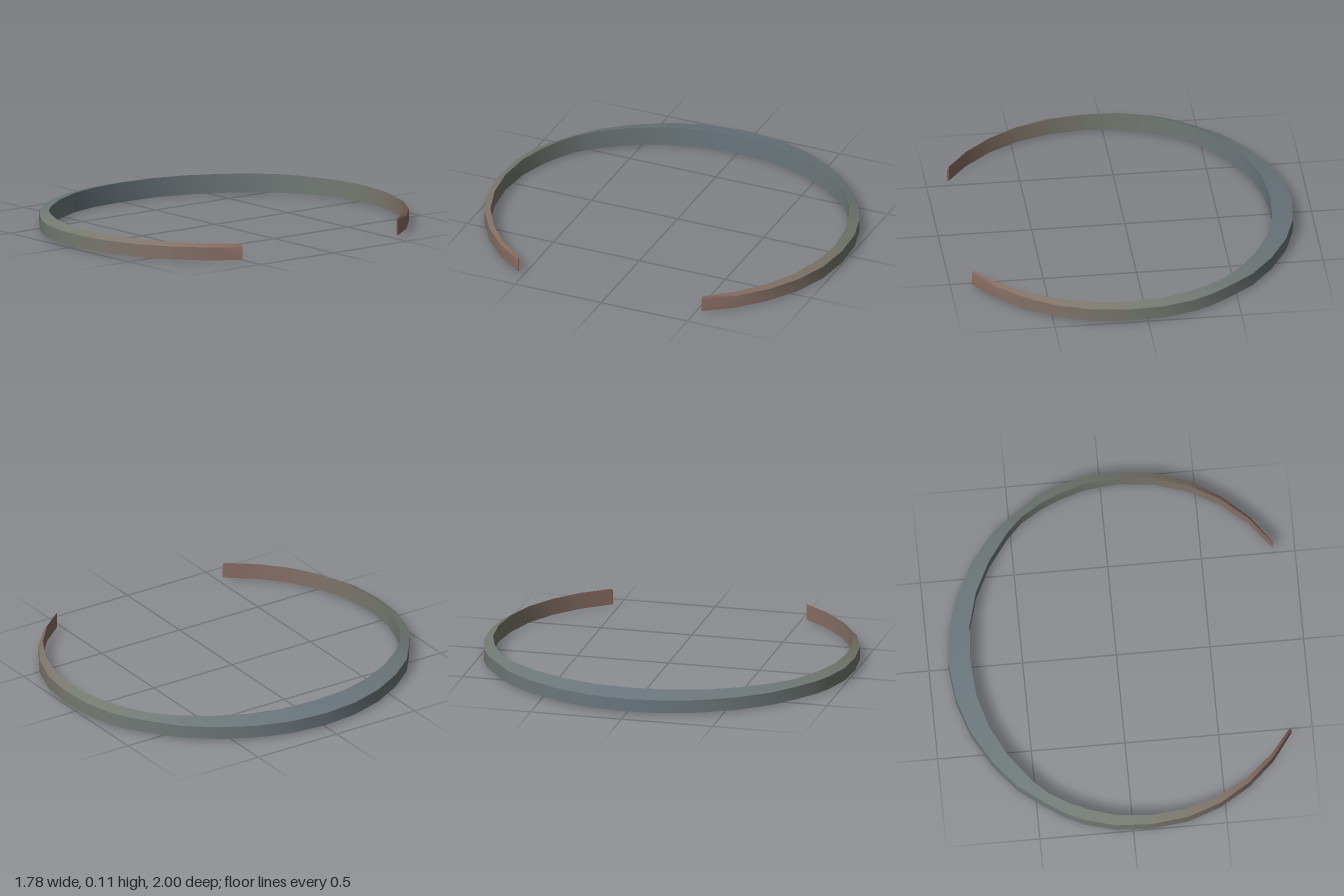
import * as THREE from 'three';
import { toCreasedNormals } from 'three/addons/utils/BufferGeometryUtils.js';

// Half plan of the crescent, from the thick back to the thin tip: [outerX, outerZ, innerX, innerZ]
const HALF = [
  [-0.895, 0, -0.78, 0], [-0.875, 0.2, -0.765, 0.2], [-0.815, 0.39, -0.715, 0.38],
  [-0.715, 0.57, -0.63, 0.55], [-0.595, 0.72, -0.52, 0.70], [-0.46, 0.825, -0.435, 0.785],
  [-0.35, 0.9, -0.33, 0.85], [-0.255, 0.945, -0.23, 0.895], [-0.09, 0.99, -0.085, 0.94],
  [0.1, 1, 0.1, 0.957], [0.295, 0.977, 0.285, 0.937], [0.475, 0.912, 0.465, 0.882],
  [0.635, 0.812, 0.625, 0.792], [0.775, 0.682, 0.765, 0.672], [0.885, 0.532, 0.876, 0.533],
];
const LAST = HALF.length - 1;

// Tint runs from slate at the back through grey green to brown at the tips
const SLATE = new THREE.Color(0x69757d);
const SAGE = new THREE.Color(0x747a70);
const BROWN = new THREE.Color(0x8a6a60);
function tint(t) {
  return t < 0.6
    ? SLATE.clone().lerp(SAGE, t / 0.6)
    : SAGE.clone().lerp(BROWN, (t - 0.6) / 0.4);
}

// Four corners of the band at one station: low outer wall, raised inner wall
function section(j, side) {
  const [ox, oz, ix, iz] = HALF[j];
  const t = j / LAST;
  const innerBottom = 0.01 * Math.min(1, t * 1.6);
  const innerTop = 0.107 - 0.01 * t * t;
  return [
    [ox, 0.01, oz * side], [ox, 0.08, oz * side],
    [ix, innerTop, iz * side], [ix, innerBottom, iz * side],
  ];
}

export function createModel() {
  const group = new THREE.Group();
  group.name = 'crescentRing';

  // Stations run from the front tip round the back to the rear tip
  const stations = [];
  for (let j = LAST; j >= 0; j--) stations.push(section(j, 1));
  for (let j = 1; j <= LAST; j++) stations.push(section(j, -1));

  const positions = [];
  const geometry = new THREE.BufferGeometry();
  const materials = [];
  const quad = (a, b, c, d) => positions.push(...a, ...b, ...c, ...a, ...c, ...d);

  for (let i = 0; i < stations.length - 1; i++) {
    const start = positions.length / 3;
    const a = stations[i], b = stations[i + 1];
    for (let k = 0; k < 4; k++) {
      const n = (k + 1) % 4;
      quad(a[k], a[n], b[n], b[k]);
    }
    // Close the two tips
    if (i === 0) quad(a[3], a[2], a[1], a[0]);
    if (i === stations.length - 2) quad(b[0], b[1], b[2], b[3]);

    geometry.addGroup(start, positions.length / 3 - start, i);
    materials.push(new THREE.MeshStandardMaterial({
      color: tint(Math.abs(i + 0.5 - LAST) / LAST),
    }));
  }
  geometry.setAttribute('position', new THREE.Float32BufferAttribute(positions, 3));

  const band = new THREE.Mesh(toCreasedNormals(geometry, 0.5), materials);
  band.name = 'taperedBand';
  group.add(band);
  return group;
}
